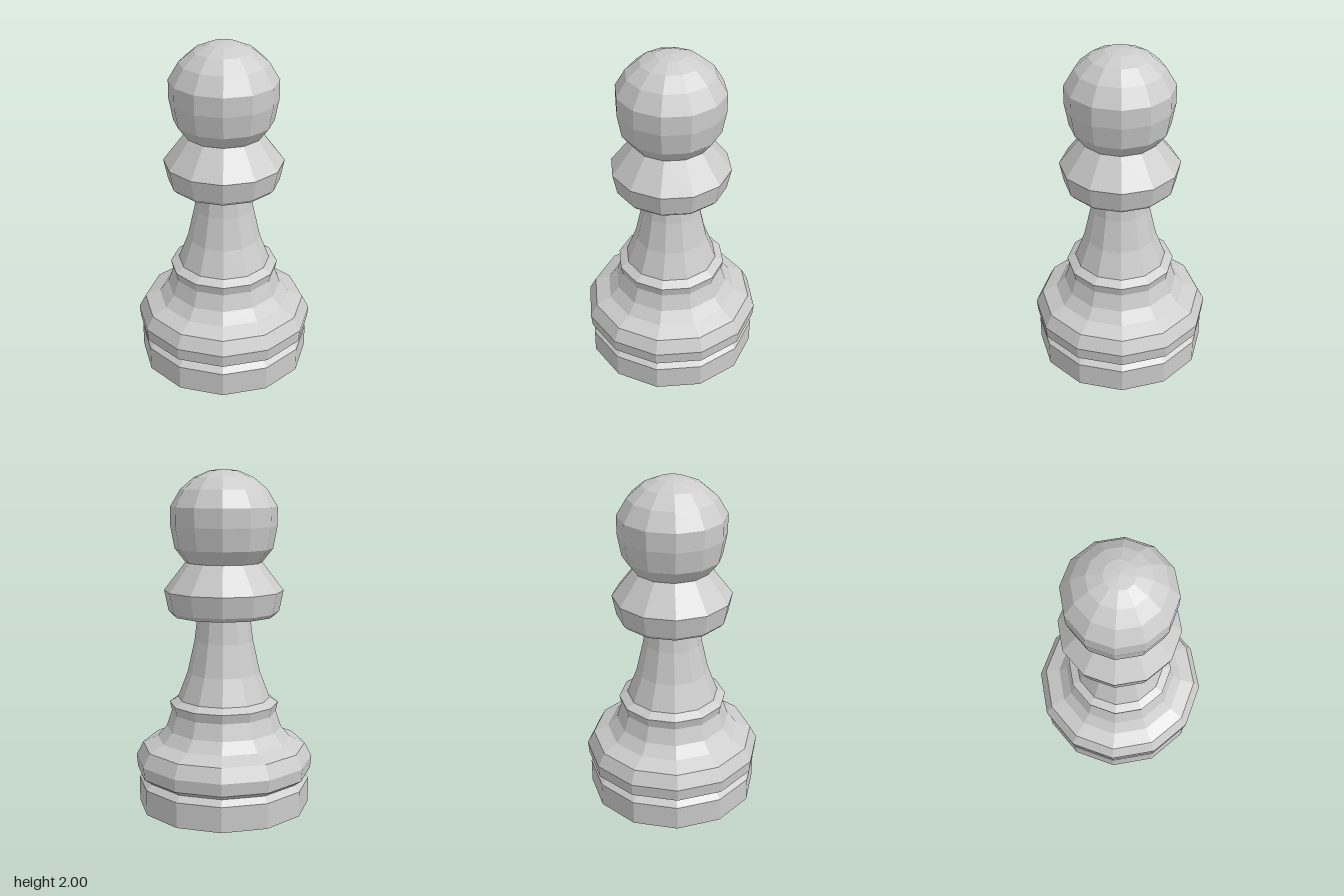
import * as THREE from 'three';

const SIDES = 12;

export function createModel() {
  const pawn = new THREE.Group();
  pawn.name = 'pawn';
  const material = new THREE.MeshStandardMaterial({ color: 0xcccccc, flatShading: true });

  // Turns a profile of [radius, height] pairs, listed from bottom to top
  const turn = (name, profile) => {
    const points = profile.map(([r, y]) => new THREE.Vector2(r, y));
    const geometry = new THREE.LatheGeometry(points, SIDES).toNonIndexed();
    geometry.computeVertexNormals();
    const mesh = new THREE.Mesh(geometry, material);
    mesh.name = name;
    pawn.add(mesh);
  };

  // Plinth, closed underneath, with a chamfer into the groove
  turn('plinth', [[0, 0], [0.515, 0], [0.515, 0.15], [0.48, 0.183]]);

  // Wide rounded base ring above the groove
  turn('baseRing', [[0.48, 0.183], [0.525, 0.215], [0.532, 0.29], [0.49, 0.37]]);

  // Concave foot flaring up to a small ledge
  turn('foot', [
    [0.49, 0.37], [0.4, 0.41], [0.345, 0.475], [0.313, 0.57], [0.325, 0.625], [0.275, 0.655],
  ]);

  // Tapering stem
  turn('stem', [[0.275, 0.655], [0.216, 0.81], [0.174, 1], [0.155, 1.155]]);

  // Collar with a flat underside
  turn('collar', [[0.155, 1.155], [0.305, 1.155], [0.327, 1.178], [0.352, 1.3], [0.225, 1.465]]);

  // Ball head
  turn('head', [
    [0.225, 1.465], [0.288, 1.545], [0.312, 1.675], [0.312, 1.785],
    [0.252, 1.885], [0.172, 1.953], [0.085, 1.99], [0, 2],
  ]);

  return pawn;
}
